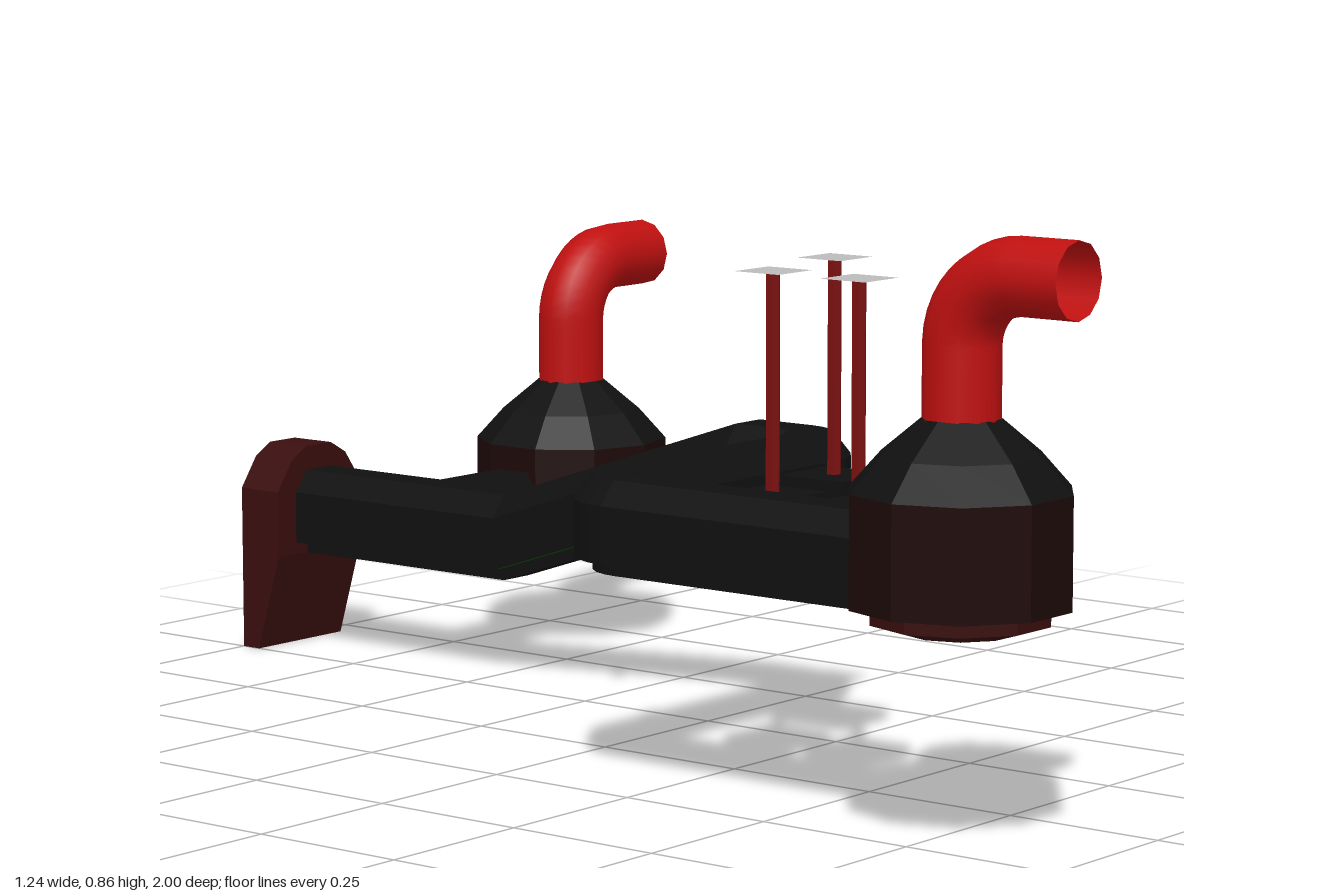
import * as THREE from 'three';

const mat = (color, flatShading = true) =>
  new THREE.MeshStandardMaterial({ color, flatShading, side: THREE.DoubleSide });
const BLACK = mat(0x101010), SOOT = mat(0x1e0909), MAROON = mat(0x3a0e0e), GREEN = mat(0x0a5c0a),
  RED = mat(0xc01010, false), EMBER = mat(0x6a1212), ROD = mat(0x7a1010), GREY = mat(0xbbbbbb);

function add(parent, name, geometry, material, x = 0, y = 0, z = 0) {
  const mesh = new THREE.Mesh(geometry, material);
  mesh.name = name;
  mesh.position.set(x, y, z);
  parent.add(mesh);
  return mesh;
}

// Sweep a [side, height] profile along [x, baseY, z] points, keeping sections upright
function sweep(path, profile) {
  const pos = [], idx = [], n = profile.length;
  path.forEach(([x, y, z], i) => {
    const dir = (a, b) => {
      const d = new THREE.Vector2(b[0] - a[0], b[2] - a[2]);
      return d.normalize();
    };
    const before = dir(path[Math.max(i - 1, 0)], path[Math.max(i, 1)]);
    const after = dir(path[Math.min(i, path.length - 2)], path[Math.min(i + 1, path.length - 1)]);
    const t = before.clone().add(after).normalize();
    const mitre = 1 / t.dot(before);
    for (const [s, h] of profile) pos.push(x - t.y * s * mitre, y + h, z + t.x * s * mitre);
    if (i) for (let j = 0; j < n - 1; j++) {
      const a = (i - 1) * n + j, c = i * n + j;
      idx.push(a, a + 1, c, a + 1, c + 1, c);
    }
  });
  const g = new THREE.BufferGeometry();
  g.setAttribute('position', new THREE.Float32BufferAttribute(pos, 3));
  g.setIndex(idx);
  g.computeVertexNormals();
  return g;
}

// Bevelled roof, green lips under its edges and a narrower floor tray
const ROOF = [[-0.057, 0.02], [-0.057, 0.105], [-0.03, 0.14], [0.03, 0.14], [0.057, 0.105], [0.057, 0.02]];
const TRAY = [[0.03, 0.02], [0.03, 0], [-0.03, 0], [-0.03, 0.02]];
function makeDuct(name, path) {
  const duct = new THREE.Group();
  duct.name = name;
  add(duct, 'ductRoof', sweep(path, ROOF), BLACK);
  add(duct, 'ductFloor', sweep(path, TRAY), BLACK);
  for (const s of [-1, 1]) {
    const lip = [[s * 0.03, 0.02], [s * 0.057, 0.02]];
    add(duct, 'ductLip', sweep(path, s > 0 ? lip.reverse() : lip), GREEN);
  }
  return duct;
}

// Quarter turn of duct points between two angles
function bend(cx, cz, r, from, to, y) {
  return Array.from({ length: 7 }, (_, i) => {
    const a = from + (to - from) * i / 6;
    return [cx + r * Math.cos(a), y, cz + r * Math.sin(a)];
  });
}

// Ten-sided chamber with a bent exhaust pipe pointing to +z
function makeChamber(name) {
  const chamber = new THREE.Group();
  chamber.name = name;
  const ring = (part, points, material) => {
    const g = new THREE.LatheGeometry(points.map(p => new THREE.Vector2(...p)), 10);
    g.rotateY(Math.PI / 2);
    add(chamber, part, g, material);
  };
  ring('chamberFloor', [[0, 0], [0.08, 0.003], [0.13, 0.018], [0.13, 0.04]], MAROON);
  ring('chamberLip', [[0.13, 0.04], [0.16, 0.04]], GREEN);
  ring('chamberWall', [[0.16, 0.04], [0.16, 0.2]], SOOT);
  ring('chamberRoof', [[0.16, 0.2], [0.115, 0.25], [0.08, 0.25], [0.055, 0.3]].filter((p, i) => i !== 2), BLACK);

  const V = (y, z) => new THREE.Vector3(0, y, z);
  const curve = new THREE.CurvePath();
  curve.add(new THREE.LineCurve3(V(0.28, 0), V(0.4, 0)));
  curve.add(new THREE.CubicBezierCurve3(V(0.4, 0), V(0.455, 0), V(0.5, 0.045), V(0.5, 0.1)));
  curve.add(new THREE.LineCurve3(V(0.5, 0.1), V(0.5, 0.19)));
  add(chamber, 'exhaustPipe', new THREE.TubeGeometry(curve, 24, 0.055, 12), RED);
  return chamber;
}

// Side box with a tall rod carrying a thin plate
function makeSideBox(x, z, toDuct) {
  const unit = new THREE.Group();
  unit.name = 'sideBox';
  unit.position.set(x, 0, z);
  add(unit, 'boxBody', new THREE.BoxGeometry(0.115, 0.09, 0.115), BLACK, 0, 0.387, 0);
  add(unit, 'boxLip', new THREE.BoxGeometry(0.114, 0.002, 0.114), GREEN, 0, 0.341, 0);
  add(unit, 'boxFloor', new THREE.BoxGeometry(0.07, 0.02, 0.07), mat(0x4a4a0c), 0, 0.33, 0);
  for (let i = 0; i < 4; i++) {
    const g = new THREE.CircleGeometry(1, 6);
    g.scale(0.048, 0.03, 1);
    g.translate(0, 0, 0.0585);
    g.rotateY(i * Math.PI / 2);
    add(unit, 'boxWindow', g, EMBER, 0, 0.38, 0);
  }
  add(unit, 'rod', new THREE.CylinderGeometry(0.011, 0.011, 0.335, 6), ROD, 0, 0.5875, 0);
  const plate = new THREE.PlaneGeometry(0.08, 0.08);
  plate.rotateX(-Math.PI / 2);
  add(unit, 'rodPlate', plate, GREY, 0, 0.756, 0);
  const [dx, dz] = toDuct;
  add(unit, 'boxConnector', new THREE.BoxGeometry(dx ? 0.06 : 0.036, 0.07, dz ? 0.06 : 0.036),
    BLACK, dx * 0.08, 0.377, dz * 0.08);
  return unit;
}

// Arched end frame with a duct-shaped opening over a tapered foot
function makeEndFrame() {
  const frame = new THREE.Group();
  frame.name = 'endFrame';
  const arch = new THREE.Shape([[-0.1, 0.16], [0.1, 0.16], [0.1, 0.27], [0.065, 0.32], [0.03, 0.34],
    [-0.03, 0.34], [-0.065, 0.32], [-0.1, 0.27]].map(p => new THREE.Vector2(...p)));
  arch.holes.push(new THREE.Path([[-0.057, 0.18], [-0.057, 0.265], [-0.03, 0.3], [0.03, 0.3],
    [0.057, 0.265], [0.057, 0.18]].map(p => new THREE.Vector2(...p))));
  add(frame, 'frameArch', new THREE.ExtrudeGeometry(arch, { depth: 0.083, bevelEnabled: false }), MAROON);
  const foot = new THREE.BoxGeometry(0.2, 0.16, 0.083).translate(0, 0.08, 0.0415);
  const p = foot.attributes.position;
  for (let i = 0; i < p.count; i++) if (p.getY(i) < 0.01 && p.getZ(i) > 0.01) p.setZ(i, 0.035);
  add(frame, 'frameFoot', foot, MAROON);
  frame.position.set(0.1, 0, -1);
  return frame;
}

export function createModel() {
  const model = new THREE.Group();
  model.name = 'ductNetwork';

  // Main run: two level turns, then a ramp down to the end frame
  const H = Math.PI / 2;
  model.add(makeDuct('mainDuct', [
    [-0.46, 0.32, 0.74],
    ...bend(-0.4, 0.22, 0.06, 2 * H, 3 * H, 0.32),
    ...bend(0.04, 0.1, 0.06, H, 0, 0.32),
    [0.1, 0.32, 0], [0.1, 0.16, -0.48], [0.1, 0.16, -0.98],
  ]));
  model.add(makeDuct('branchDuct', [[0.13, 0.16, -0.64], [0.36, 0.16, -0.64]]));

  const front = makeChamber('frontChamber');
  front.position.set(-0.46, 0.3, 0.81);
  const rear = makeChamber('rearChamber');
  rear.position.set(0.43, 0.14, -0.64);
  rear.rotation.y = H;
  model.add(front, rear);

  model.add(makeSideBox(-0.3, 0.36, [-1, 0]), makeSideBox(-0.3, 0.515, [-1, 0]),
    makeSideBox(-0.1, 0.32, [0, -1]));
  model.add(makeEndFrame());

  // Small clips on the ramp and on the cross run
  for (const x of [0.05, 0.15])
    add(model, 'rampClip', new THREE.BoxGeometry(0.012, 0.05, 0.016), BLACK, x, 0.245, -0.235);
  add(model, 'wallClip', new THREE.BoxGeometry(0.04, 0.06, 0.02), BLACK, -0.28, 0.385, 0.098);
  return model;
}
